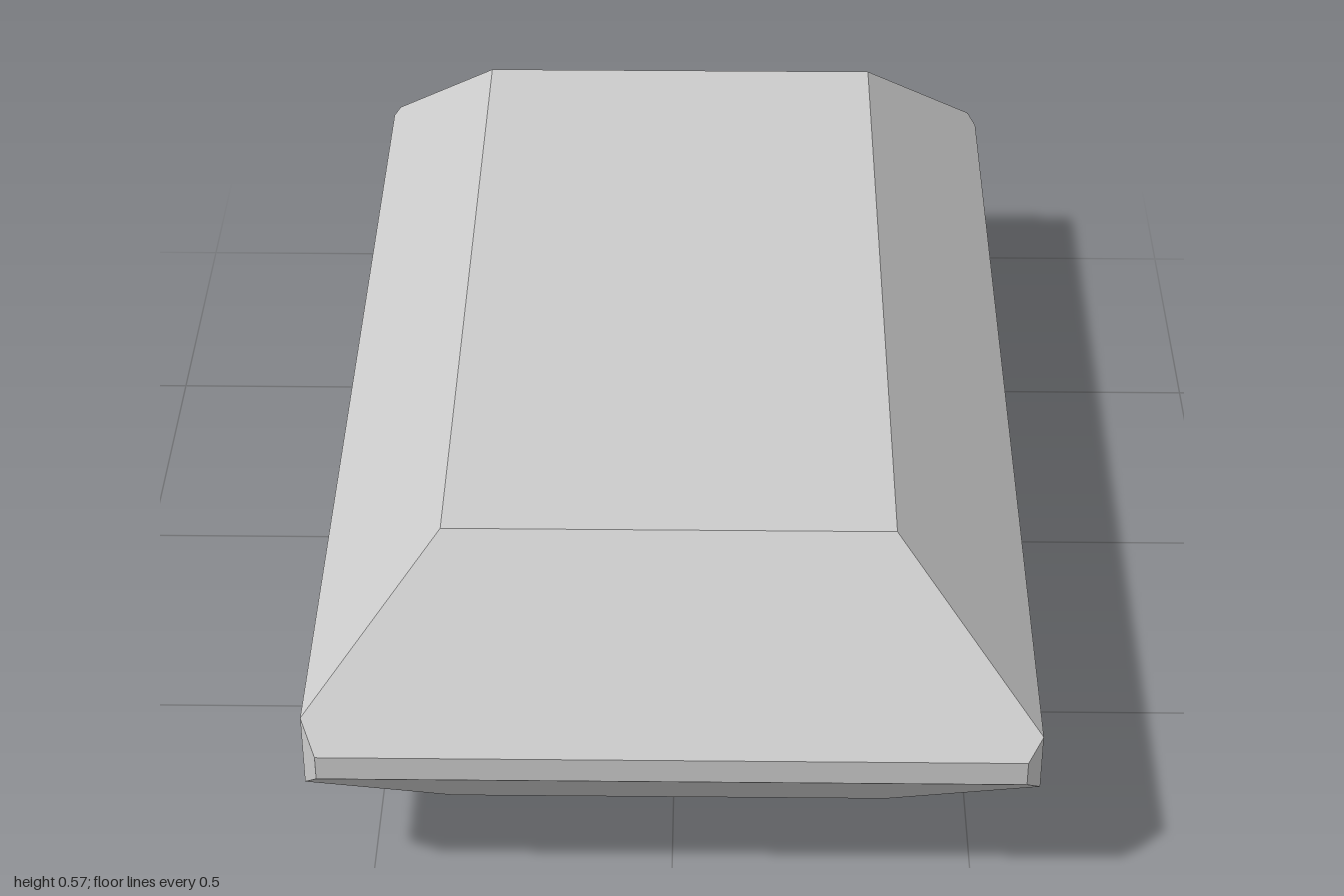
import * as THREE from 'three';
import { ConvexGeometry } from 'three/addons/geometries/ConvexGeometry.js';

const HEIGHT = 0.575;

export function createModel() {
  const group = new THREE.Group();
  group.name = 'bevelledSlab';

  // Corners of the upper half: [x, y, z]
  const upper = [
    // flat top
    [-0.38, HEIGHT, 0.735], [0.365, HEIGHT, 0.735],
    [0.365, HEIGHT, -0.78], [-0.38, HEIGHT, -0.78],
    // rim: chamfered corners, front right then round to front left
    [0.575, 0.31, 1], [0.6, 0.34, 0.97],
    [0.6, 0.34, -0.975], [0.585, 0.355, -1],
    [-0.575, 0.355, -1], [-0.5875, 0.3675, -0.9875], [-0.6, 0.355, -0.975],
    [-0.6, 0.355, 0.955], [-0.575, 0.31, 1],
  ];

  // The lower half mirrors the upper one
  const points = [];
  for (const [x, y, z] of upper) {
    points.push(new THREE.Vector3(x, y, z), new THREE.Vector3(x, HEIGHT - y, z));
  }

  const material = new THREE.MeshStandardMaterial({ color: 0xcccccc, flatShading: true });
  const body = new THREE.Mesh(new ConvexGeometry(points), material);
  body.name = 'body';
  group.add(body);
  return group;
}
